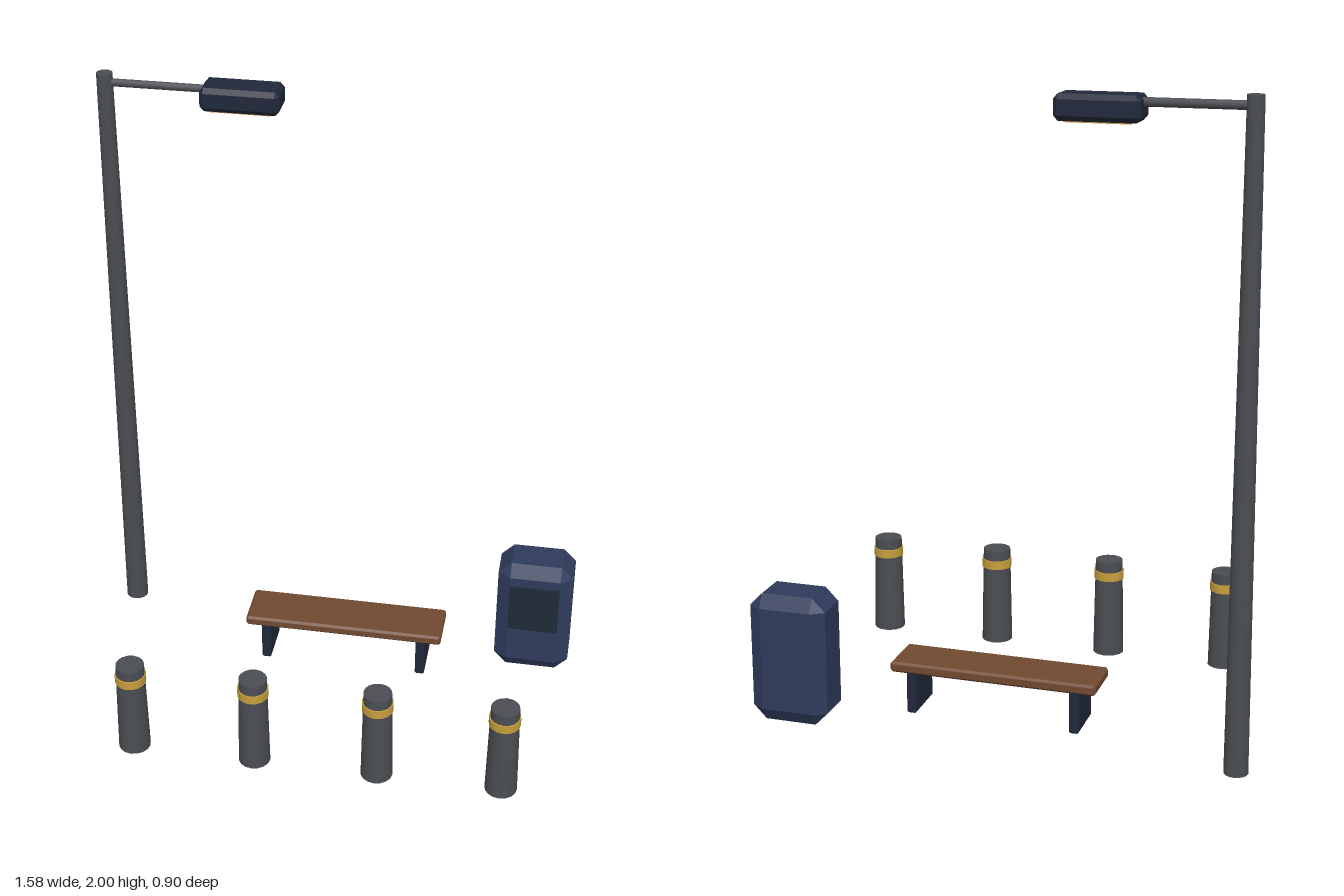
import * as THREE from 'three';
import { ConvexGeometry } from 'three/addons/geometries/ConvexGeometry.js';

const material = (color, flatShading = false) => new THREE.MeshStandardMaterial({ color, flatShading });
const steel = material(0x4a4d52);
const navy = material(0x2f3b5c, true);
const darkNavy = material(0x20283a, true);
const teal = material(0x1d2b36, true);
const wood = material(0x714a31, true);
const yellow = material(0xc79f3c);
const lens = material(0xc89850, true);

// Box with bevelled edges; size and bevel are [x, y, z]
function bevelBox(size, bevel) {
  const [hx, hy, hz] = size.map((s) => s / 2);
  const [bx, by, bz] = bevel;
  const points = [];
  for (const x of [-1, 1]) for (const y of [-1, 1]) for (const z of [-1, 1]) {
    points.push(
      new THREE.Vector3(x * hx, y * (hy - by), z * (hz - bz)),
      new THREE.Vector3(x * (hx - bx), y * hy, z * (hz - bz)),
      new THREE.Vector3(x * (hx - bx), y * (hy - by), z * hz),
    );
  }
  return new ConvexGeometry(points);
}

function add(parent, name, geometry, mat, x, y, z) {
  const mesh = new THREE.Mesh(geometry, mat);
  mesh.name = name;
  mesh.position.set(x, y, z);
  parent.add(mesh);
  return mesh;
}

function group(parent, name, x, z) {
  const g = new THREE.Group();
  g.name = name;
  g.position.set(x, 0, z);
  parent.add(g);
  return g;
}

export function createModel() {
  const model = new THREE.Group();
  model.name = 'streetFurniture';

  // Street lamp: tapered pole, side arm, head with a lens underneath
  const lamp = group(model, 'streetLamp', -0.754, -0.396);
  add(lamp, 'pole', new THREE.CylinderGeometry(0.025, 0.037, 1.966, 16), steel, 0, 1.017, 0);
  const arm = add(lamp, 'arm', new THREE.CylinderGeometry(0.013, 0.013, 0.34, 8), steel, 0.17, 1.97, 0);
  arm.rotation.z = Math.PI / 2;
  add(lamp, 'lampHead', bevelBox([0.246, 0.075, 0.112], [0.013, 0.015, 0.013]), darkNavy, 0.427, 1.953, 0);
  add(lamp, 'lampLens', new THREE.BoxGeometry(0.19, 0.006, 0.08), lens, 0.427, 1.915, 0);

  // Bench: plank seat on two slab legs
  const bench = group(model, 'bench', 0.036, -0.198);
  add(bench, 'seat', bevelBox([0.662, 0.034, 0.163], [0.007, 0.007, 0.007]), wood, 0, 0.179, 0);
  for (const side of [-1, 1]) {
    add(bench, side > 0 ? 'leftLeg' : 'rightLeg', bevelBox([0.031, 0.14, 0.155], [0.005, 0.005, 0.005]),
      darkNavy, side * 0.263, 0.1, 0);
  }

  // Litter bin: bevelled body with a dark front panel
  const bin = group(model, 'litterBin', 0.662, -0.328);
  add(bin, 'binBody', bevelBox([0.25, 0.42, 0.163], [0.042, 0.043, 0.027]), navy, 0, 0.21, 0);
  add(bin, 'binPanel', new THREE.BoxGeometry(0.166, 0.17, 0.022), teal, 0, 0.261, 0.081);

  // Row of four bollards, each with a reflective band
  for (let i = 0; i < 4; i++) {
    const bollard = group(model, `bollard${i + 1}`, -0.555 + i * 0.394, 0.393);
    add(bollard, 'post', new THREE.CylinderGeometry(0.045, 0.051, 0.325, 16), steel, 0, 0.197, 0);
    add(bollard, 'band', new THREE.CylinderGeometry(0.0495, 0.0495, 0.029, 16), yellow, 0, 0.311, 0);
  }

  return model;
}
